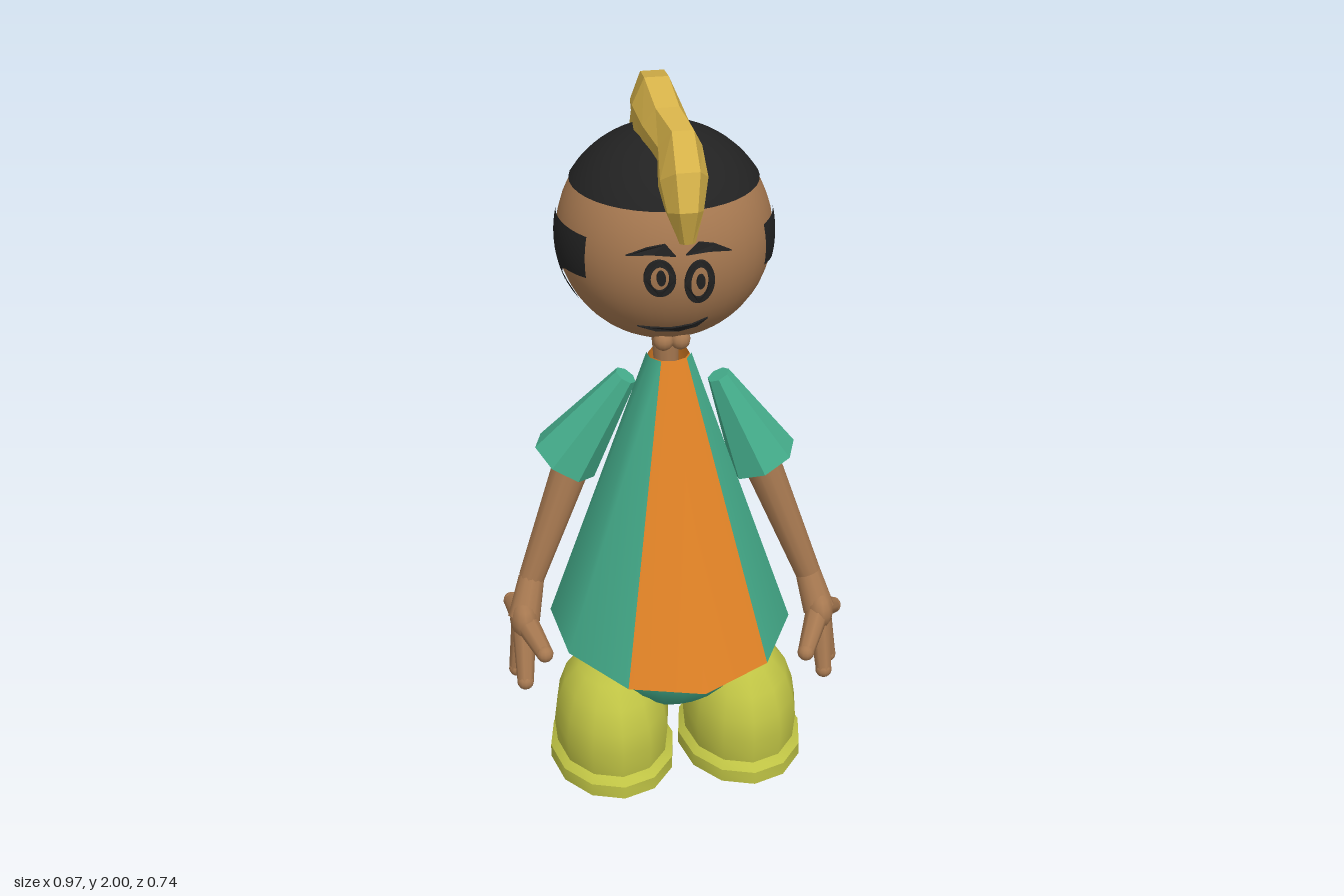
import * as THREE from 'three';
import { toCreasedNormals } from 'three/addons/utils/BufferGeometryUtils.js';

const V = (x, y, z) => new THREE.Vector3(x, y, z);
const rad = THREE.MathUtils.degToRad;
const HEAD = V(-0.03, 1.585, 0.013), R = 0.28;

export function createModel() {
  const model = new THREE.Group();
  const mat = (name, color, extra = {}) => new THREE.MeshStandardMaterial({ name, color, ...extra });
  const skin = mat('brown skin', 0xa67850);
  const black = mat('black', 0x222222);
  const gold = mat('gold hair', 0xd4b048, { flatShading: true });
  const teal = mat('teal cloth', 0x45ae8c);
  const orange = mat('orange cloth', 0xe08226, { side: THREE.DoubleSide });
  const lime = mat('yellow green', 0xbec244);

  const add = (name, geo, material, pos, parent = model) => {
    const m = new THREE.Mesh(geo, material);
    m.name = name;
    if (pos) m.position.copy(pos);
    parent.add(m);
    return m;
  };
  // Tapered cylinder running from a to b
  const limb = (name, a, b, ra, rb, material, sides, parent, crease) => {
    let geo = new THREE.CylinderGeometry(rb, ra, a.distanceTo(b), sides);
    if (crease) geo = toCreasedNormals(geo, crease);
    const m = add(name, geo, material, a.clone().lerp(b, 0.5), parent);
    m.quaternion.setFromUnitVectors(V(0, 1, 0), b.clone().sub(a).normalize());
    return m;
  };
  const ball = (name, p, r, material, parent) =>
    add(name, new THREE.SphereGeometry(r, 12, 8), material, p, parent);

  // Head, neck and chin
  add('head', new THREE.SphereGeometry(R, 40, 28), skin, HEAD);
  limb('neck', V(-0.025, 1.18, 0.015), V(-0.03, 1.34, 0.015), 0.032, 0.04, skin, 12);
  for (const x of [-0.058, -0.014]) ball('chinBump', V(x, 1.337, 0.155), 0.027, skin);

  // Short dark hair on top
  add('hairCap', new THREE.SphereGeometry(R + 0.006, 40, 12, 0, Math.PI * 2, 0, rad(58.5)), black, HEAD);

  // Dark hair wrapping the sides and back, with a stepped lower edge
  const edge = [[0, 1.40], [40, 1.35], [65, 1.34], [90, 1.40], [96, 1.50], [104, 1.53], [127, 1.54]];
  const lowerEdge = (deg) => {
    const i = Math.max(1, edge.findIndex((e) => e[0] >= deg - 1e-6));
    const [a, b] = [edge[i - 1], edge[i]];
    return THREE.MathUtils.mapLinear(deg, a[0], b[0], a[1], b[1]);
  };
  const band = new THREE.PlaneGeometry(1, 1, 64, 10);
  for (let i = 0, p = band.attributes.position; i < p.count; i++) {
    const deg = p.getX(i) * 2 * 126;
    const y = THREE.MathUtils.lerp(lowerEdge(Math.abs(deg)), 1.65, p.getY(i) + 0.5) - HEAD.y;
    const r = Math.sqrt((R + 0.006) ** 2 - y * y);
    p.setXYZ(i, -Math.sin(rad(deg)) * r, y, -Math.cos(rad(deg)) * r);
  }
  band.computeVertexNormals();
  add('sideHair', band, black, HEAD);

  // Crest: [inner z, inner y, outer z, outer y, centre x, half width]
  const crest = [
    [0.295, 1.67, 0.325, 1.675, -0.025, 0.02], [0.26, 1.74, 0.355, 1.77, -0.03, 0.045],
    [0.20, 1.78, 0.32, 1.86, -0.025, 0.06], [0.14, 1.81, 0.22, 1.93, -0.02, 0.055],
    [0.07, 1.84, 0.12, 1.955, -0.04, 0.06], [0.01, 1.84, 0.02, 2.0, -0.05, 0.062],
    [-0.08, 1.82, -0.13, 1.965, -0.035, 0.062], [-0.16, 1.77, -0.23, 1.89, -0.025, 0.055],
    [-0.22, 1.70, -0.30, 1.75, -0.03, 0.05], [-0.24, 1.60, -0.34, 1.65, -0.035, 0.055],
    [-0.25, 1.54, -0.37, 1.55, -0.035, 0.05], [-0.23, 1.45, -0.30, 1.42, -0.03, 0.045],
    [-0.17, 1.37, -0.20, 1.335, -0.03, 0.03],
  ];
  const ring = [[-0.5, 1], [0.5, 1], [1, 0.55], [0.9, 0], [-0.9, 0], [-1, 0.55]];
  const pos = [], idx = [], n = ring.length;
  crest.forEach(([zi, yi, zo, yo, x, w], i) => {
    for (const [s, t] of ring) {
      pos.push(x + s * w, THREE.MathUtils.lerp(yi, yo, t), THREE.MathUtils.lerp(zi, zo, t));
    }
    if (i === crest.length - 1) return;
    for (let j = 0; j < n; j++) {
      const a = i * n + j, b = i * n + (j + 1) % n;
      idx.push(a, b, b + n, a, b + n, a + n);
    }
  });
  const last = (crest.length - 1) * n;
  for (let j = 1; j < n - 1; j++) idx.push(0, j + 1, j, last, last + j, last + j + 1);
  const crestGeo = new THREE.BufferGeometry();
  crestGeo.setAttribute('position', new THREE.Float32BufferAttribute(pos, 3));
  crestGeo.setIndex(idx);
  crestGeo.computeVertexNormals();
  add('hairCrest', crestGeo, gold);

  // Face details: thin plates bent onto the head
  const facePlate = (name, shape) => {
    const geo = new THREE.ExtrudeGeometry(shape, { depth: 0.009, bevelEnabled: false, curveSegments: 16 });
    for (let i = 0, p = geo.attributes.position; i < p.count; i++) {
      const dx = p.getX(i) - HEAD.x, dy = p.getY(i) - HEAD.y;
      p.setZ(i, p.getZ(i) + HEAD.z + Math.sqrt(R * R - dx * dx - dy * dy));
    }
    geo.computeVertexNormals();
    add(name, geo, black);
  };
  const oval = (Kind, x, y, rx, ry) => new Kind().absellipse(x, y, rx, ry, 0, Math.PI * 2);
  for (const [x, y, ry] of [[-0.09, 1.573, 0.05], [0.01, 1.557, 0.06]]) {
    const rim = oval(THREE.Shape, x, y, 0.039, ry);
    rim.holes.push(oval(THREE.Path, x, y, 0.023, ry - 0.017));
    facePlate('eyeRim', rim);
    facePlate('pupil', oval(THREE.Shape, x + 0.003, y + 0.002, 0.011, 0.02));
  }
  const poly = (...pts) => new THREE.Shape(pts.map(([x, y]) => new THREE.Vector2(x, y)));
  facePlate('eyebrow', poly([-0.17, 1.628], [-0.11, 1.636], [-0.05, 1.632], [-0.075, 1.662], [-0.12, 1.652]));
  facePlate('eyebrow', poly([-0.025, 1.634], [0.035, 1.636], [0.095, 1.626], [0.05, 1.652], [0.01, 1.662]));
  facePlate('mouth', poly([-0.135, 1.412], [-0.09, 1.397], [-0.03, 1.395], [0.015, 1.408], [0.04, 1.436],
    [0.0, 1.419], [-0.05, 1.411], [-0.1, 1.412]));

  // Ten-sided robe with an orange front panel and an orange lining
  const robe = (name, material, start, sides, inset = 0) => {
    const geo = new THREE.CylinderGeometry(0.06 - inset, 0.362 - inset, 0.86, sides, 1, true, rad(start), rad(36 * sides));
    for (let i = 0, p = geo.attributes.position; i < p.count; i++) {
      const x = p.getX(i);
      if (p.getY(i) < 0) p.setXYZ(i, x * 0.93, p.getY(i) + 0.04 * (x / 0.36) ** 2, p.getZ(i));
    }
    geo.computeVertexNormals();
    add(name, geo, material, V(-0.018, 0.80, 0.012));
  };
  robe('robePanel', orange, -30, 2);
  robe('robe', teal, 42, 8);
  robe('robeLining', orange, -30, 10, 0.005);

  // Rounded lower body
  add('lowerBody', new THREE.SphereGeometry(0.265, 24, 16), teal, V(-0.018, 0.415, 0.015));

  // Sleeves, arms and spread hands
  const arms = [
    { side: 'left', top: V(0.115, 1.155, 0.02), cuff: V(0.24, 0.895, 0.03), wrist: V(0.37, 0.53, 0.06),
      palm: V(0.395, 0.43, 0.10),
      tips: [V(0.325, 0.385, 0.245), V(0.40, 0.262, 0.16), V(0.43, 0.262, 0.085), V(0.46, 0.375, 0.01)] },
    { side: 'right', top: V(-0.13, 1.155, -0.02), cuff: V(-0.295, 0.895, -0.065), wrist: V(-0.405, 0.56, 0.0),
      palm: V(-0.435, 0.46, 0.05),
      tips: [V(-0.395, 0.43, 0.19), V(-0.445, 0.305, 0.13), V(-0.46, 0.305, 0.06), V(-0.455, 0.44, -0.08)] },
  ];
  for (const { side, top, cuff, wrist, palm, tips } of arms) {
    const arm = new THREE.Group();
    arm.name = side + 'Arm';
    model.add(arm);
    limb('sleeve', top, cuff, 0.032, 0.097, teal, 7, arm, 0.3);
    limb('forearm', top.clone().lerp(cuff, 0.7), wrist, 0.056, 0.036, skin, 12, arm);
    ball('wrist', wrist, 0.036, skin, arm);
    limb('handBase', wrist, palm, 0.036, 0.045, skin, 12, arm);
    ball('palm', palm, 0.052, skin, arm).scale.set(0.75, 1.1, 1.15);
    for (const tip of tips) {
      limb('finger', palm, tip, 0.035, 0.023, skin, 8, arm);
      ball('fingertip', tip, 0.0235, skin, arm);
    }
  }

  // Bulbous boots with a flared sole
  const profile = [[0, 0], [1.06, 0], [1.06, 0.038], [0.94, 0.055], [0.98, 0.13], [0.93, 0.19],
    [0.80, 0.255], [0.56, 0.30], [0.3, 0.318], [0, 0.322]].map(([r, y]) => new THREE.Vector2(r, y));
  for (const [side, x] of [['left', 0.173], ['right', -0.197]]) {
    const geo = new THREE.LatheGeometry(profile, 12);
    geo.scale(0.167, 1, 0.22);
    add(side + 'Boot', toCreasedNormals(geo, 0.75), lime, V(x, 0, 0.077));
  }
  return model;
}
